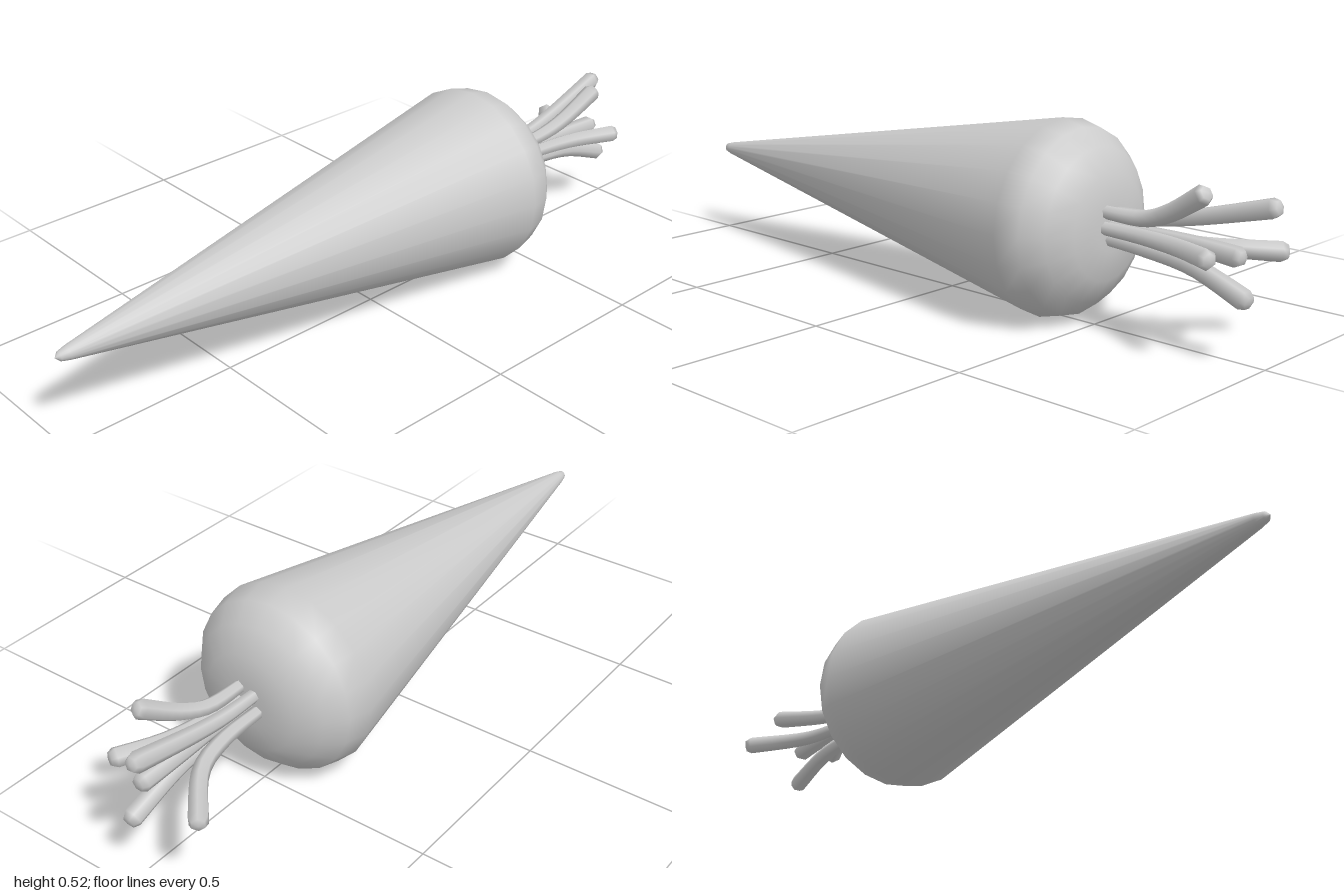
import * as THREE from 'three';

const material = new THREE.MeshStandardMaterial({ color: 0xcccccc });
const AXIS_Y = 0.26;

// Tapering root, turned about the z axis with the tip facing the front
function makeRoot() {
  const profile = [
    [0, -0.55], [0.06, -0.55], [0.138, -0.54], [0.2, -0.5], [0.243, -0.45], [0.26, -0.385],
    [0.019, 0.965], [0.013, 0.988], [0, 1],
  ].map(([r, z]) => new THREE.Vector2(r, z));
  const geometry = new THREE.LatheGeometry(profile, 20);
  geometry.rotateX(Math.PI / 2).translate(0, AXIS_Y, 0);
  const root = new THREE.Mesh(geometry, material);
  root.name = 'root';
  return root;
}

// Cut leaf stem: a six-sided tube that thickens outwards and ends in a blunt cap
function makeStem(points) {
  const path = new THREE.CatmullRomCurve3(points.map((p) => new THREE.Vector3(...p)));
  const rings = 14, sides = 6;
  const geometry = new THREE.TubeGeometry(path, rings, 1, sides, false);
  const position = geometry.attributes.position;
  const v = new THREE.Vector3();
  for (let i = 0; i <= rings; i++) {
    const centre = path.getPointAt(i / rings);
    let u = Math.min(i / (rings - 2), 1) * 0.955;
    let radius = 0.017 + 0.01 * u;
    if (i === rings - 1) { u = 0.99; radius = 0.018; }
    if (i === rings) { u = 1; radius = 0; }
    const moved = path.getPointAt(u);
    for (let j = 0; j <= sides; j++) {
      const k = i * (sides + 1) + j;
      v.fromBufferAttribute(position, k).sub(centre).multiplyScalar(radius).add(moved);
      position.setXYZ(k, v.x, v.y, v.z);
    }
  }
  // Normals follow the swept tube, except at the cap, where they point along it
  const normal = geometry.attributes.normal;
  const end = path.getTangentAt(1);
  for (let i = rings - 1; i <= rings; i++) {
    for (let j = 0; j <= sides; j++) {
      const k = i * (sides + 1) + j;
      v.fromBufferAttribute(normal, k).multiplyScalar(i === rings ? 0 : 0.6).add(end).normalize();
      normal.setXYZ(k, v.x, v.y, v.z);
    }
  }
  return new THREE.Mesh(geometry, material);
}

export function createModel() {
  const group = new THREE.Group();
  group.name = 'carrot';
  group.add(makeRoot());

  // Stem centre lines, from the crown outwards
  const stems = [
    [[0.025, 0.305, -0.53], [0.028, 0.308, -0.66], [0.04, 0.335, -0.74], [0.06, 0.41, -0.865]],
    [[-0.02, 0.295, -0.53], [-0.024, 0.3, -0.66], [-0.03, 0.318, -0.76], [-0.047, 0.378, -0.995]],
    [[0.03, 0.265, -0.53], [0.035, 0.265, -0.66], [0.058, 0.265, -0.78], [0.115, 0.267, -0.915]],
    [[-0.03, 0.25, -0.53], [-0.036, 0.25, -0.68], [-0.065, 0.246, -0.79], [-0.188, 0.235, -0.94]],
    [[0, 0.265, -0.53], [0, 0.265, -0.68], [0, 0.262, -0.8], [0.005, 0.255, -0.935]],
    [[0.01, 0.235, -0.53], [0.01, 0.228, -0.66], [0.012, 0.212, -0.8], [0.018, 0.155, -0.965]],
  ];
  const bunch = new THREE.Group();
  bunch.name = 'stems';
  stems.forEach((points, i) => {
    const stem = makeStem(points);
    stem.name = `stem${i + 1}`;
    bunch.add(stem);
  });
  group.add(bunch);
  return group;
}
